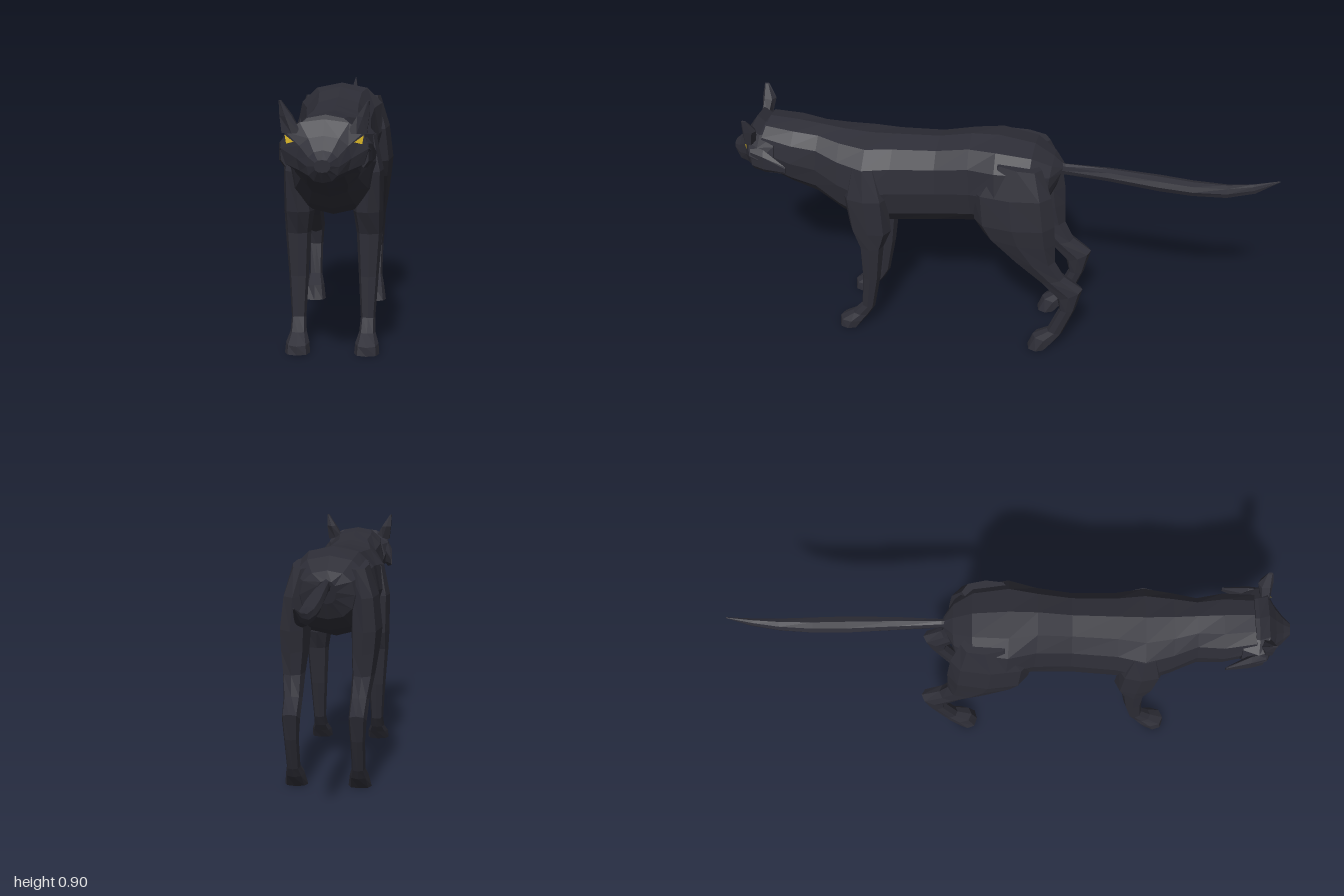
import * as THREE from 'three';

const fur = new THREE.MeshStandardMaterial({ color: 0x2d2d36 });
fur.name = 'charcoalFur';
const gold = new THREE.MeshStandardMaterial({ color: 0xd9b526, side: THREE.DoubleSide });
gold.name = 'goldenEye';

// Faceted mesh through cross-sections. Each section is [yA, zA, yB, zB, centreX, halfWidth]:
// A and B are opposite ends of the section (top/bottom for a body, back/front for a leg).
function loft(name, sections, sides, side = 1, power = 0.85) {
  const round = (v) => Math.sign(v) * Math.abs(v) ** power;
  const rings = sections.map(([yA, zA, yB, zB, x, w]) =>
    Array.from({ length: sides }, (_, i) => {
      const t = (i / sides) * Math.PI * 2;
      const c = round(Math.cos(t)), s = round(Math.sin(t));
      return [
        side * x + w * s,
        (yA + yB) / 2 + ((yA - yB) / 2) * c,
        (zA + zB) / 2 + ((zA - zB) / 2) * c,
      ];
    }));
  const mid = ([yA, zA, yB, zB, x]) => [side * x, (yA + yB) / 2, (zA + zB) / 2];
  const last = rings.length - 1;
  const first = mid(sections[0]), end = mid(sections[last]);
  const pos = [];
  for (let i = 0; i < sides; i++) {
    const j = (i + 1) % sides;
    for (let k = 0; k < last; k++) {
      const a = rings[k][i], b = rings[k][j], c = rings[k + 1][i], d = rings[k + 1][j];
      pos.push(...a, ...b, ...c, ...b, ...d, ...c);
    }
    pos.push(...first, ...rings[0][j], ...rings[0][i]);
    pos.push(...end, ...rings[last][i], ...rings[last][j]);
  }
  const geo = new THREE.BufferGeometry();
  geo.setAttribute('position', new THREE.Float32BufferAttribute(pos, 3));
  geo.computeVertexNormals();
  const mesh = new THREE.Mesh(geo, fur);
  mesh.name = name;
  return mesh;
}

// Thin eye patch laid onto the face
function eye(name, head, side) {
  const ray = new THREE.Raycaster();
  const corners = [[0.093, 0.775], [0.122, 0.794], [0.117, 0.767]].map(([x, y]) => {
    ray.set(new THREE.Vector3(side * x, y, 2), new THREE.Vector3(0, 0, -1));
    const hit = ray.intersectObject(head)[0];
    return [side * x, y, (hit ? hit.point.z : 0.9) + 0.006];
  });
  if (side < 0) corners.reverse();
  const geo = new THREE.BufferGeometry();
  geo.setAttribute('position', new THREE.Float32BufferAttribute(corners.flat(), 3));
  geo.computeVertexNormals();
  const mesh = new THREE.Mesh(geo, gold);
  mesh.name = name;
  return mesh;
}

export function createModel() {
  const model = new THREE.Group();
  model.name = 'bigCat';

  // Neck, chest, belly and rump
  model.add(loft('torso', [
    [0.85, 0.855, 0.66, 0.9, 0, 0.105],
    [0.845, 0.75, 0.6, 0.77, 0, 0.118],
    [0.835, 0.66, 0.56, 0.68, 0, 0.105],
    [0.825, 0.58, 0.5, 0.58, 0, 0.135],
    [0.82, 0.48, 0.465, 0.49, 0, 0.16],
    [0.825, 0.38, 0.475, 0.39, 0, 0.138],
    [0.835, 0.22, 0.495, 0.22, 0, 0.13],
    [0.86, 0.1, 0.515, 0.08, 0, 0.14],
    [0.865, 0, 0.535, -0.02, 0, 0.168],
    [0.845, -0.13, 0.57, -0.12, 0, 0.148],
    [0.8, -0.2, 0.62, -0.18, 0, 0.1],
    [0.768, -0.235, 0.68, -0.21, 0, 0.035],
  ], 12));

  // Head from nose to nape
  const head = loft('head', [
    [0.73, 1, 0.69, 0.998, 0, 0.025],
    [0.755, 0.972, 0.655, 0.975, 0, 0.05],
    [0.795, 0.94, 0.655, 0.93, 0, 0.085],
    [0.842, 0.908, 0.662, 0.9, 0, 0.137],
    [0.818, 0.878, 0.665, 0.86, 0, 0.143],
    [0.815, 0.82, 0.66, 0.82, 0, 0.12],
  ], 12);
  model.add(head);

  // Tail
  model.add(loft('tail', [
    [0.79, -0.18, 0.72, -0.18, 0, 0.025],
    [0.77, -0.24, 0.725, -0.24, 0, 0.014],
    [0.767, -0.4, 0.72, -0.4, 0, 0.024],
    [0.757, -0.58, 0.703, -0.58, 0, 0.031],
    [0.748, -0.7, 0.697, -0.7, 0, 0.029],
    [0.75, -0.82, 0.7, -0.82, 0, 0.021],
    [0.765, -0.91, 0.728, -0.92, 0, 0.012],
    [0.79, -1, 0.786, -1, 0, 0.002],
  ], 8));

  for (const [side, label] of [[1, 'left'], [-1, 'right']]) {
    // Ear and cheek tuft
    model.add(loft(label + 'Ear', [
      [0.9, 0.9, 0.9, 0.918, 0.136, 0.004],
      [0.852, 0.872, 0.852, 0.925, 0.119, 0.021],
      [0.795, 0.885, 0.8, 0.925, 0.1, 0.035],
    ], 6, side));
    model.add(loft(label + 'Cheek', [
      [0.79, 0.9, 0.69, 0.895, 0.12, 0.018],
      [0.78, 0.85, 0.685, 0.85, 0.13, 0.018],
      [0.73, 0.765, 0.7, 0.765, 0.152, 0.003],
    ], 6, side));
    model.add(eye(label + 'Eye', head, side));

    // Front leg from shoulder to paw
    model.add(loft(label + 'FrontLeg', [
      [0.74, 0.43, 0.74, 0.53, 0.11, 0.035],
      [0.62, 0.395, 0.62, 0.56, 0.125, 0.045],
      [0.47, 0.39, 0.48, 0.545, 0.118, 0.052],
      [0.4, 0.42, 0.4, 0.512, 0.122, 0.044],
      [0.25, 0.44, 0.25, 0.51, 0.12, 0.034],
      [0.1, 0.47, 0.11, 0.52, 0.119, 0.025],
      [0.06, 0.492, 0.065, 0.56, 0.118, 0.028],
      [0.035, 0.51, 0.03, 0.612, 0.118, 0.04],
      [0, 0.535, 0, 0.615, 0.118, 0.043],
    ], 8, side));

    // Hind leg from haunch to paw
    model.add(loft(label + 'HindLeg', [
      [0.8, -0.17, 0.82, 0, 0.1, 0.04],
      [0.7, -0.21, 0.7, 0.08, 0.125, 0.05],
      [0.58, -0.225, 0.58, 0.07, 0.132, 0.057],
      [0.5, -0.228, 0.52, 0.035, 0.13, 0.052],
      [0.42, -0.23, 0.42, -0.07, 0.128, 0.042],
      [0.35, -0.265, 0.33, -0.17, 0.122, 0.035],
      [0.3, -0.335, 0.25, -0.24, 0.12, 0.033],
      [0.2, -0.31, 0.2, -0.25, 0.12, 0.027],
      [0.08, -0.265, 0.09, -0.205, 0.119, 0.025],
      [0.045, -0.245, 0.055, -0.15, 0.118, 0.035],
      [0, -0.205, 0, -0.13, 0.118, 0.043],
    ], 8, side));
  }
  return model;
}
